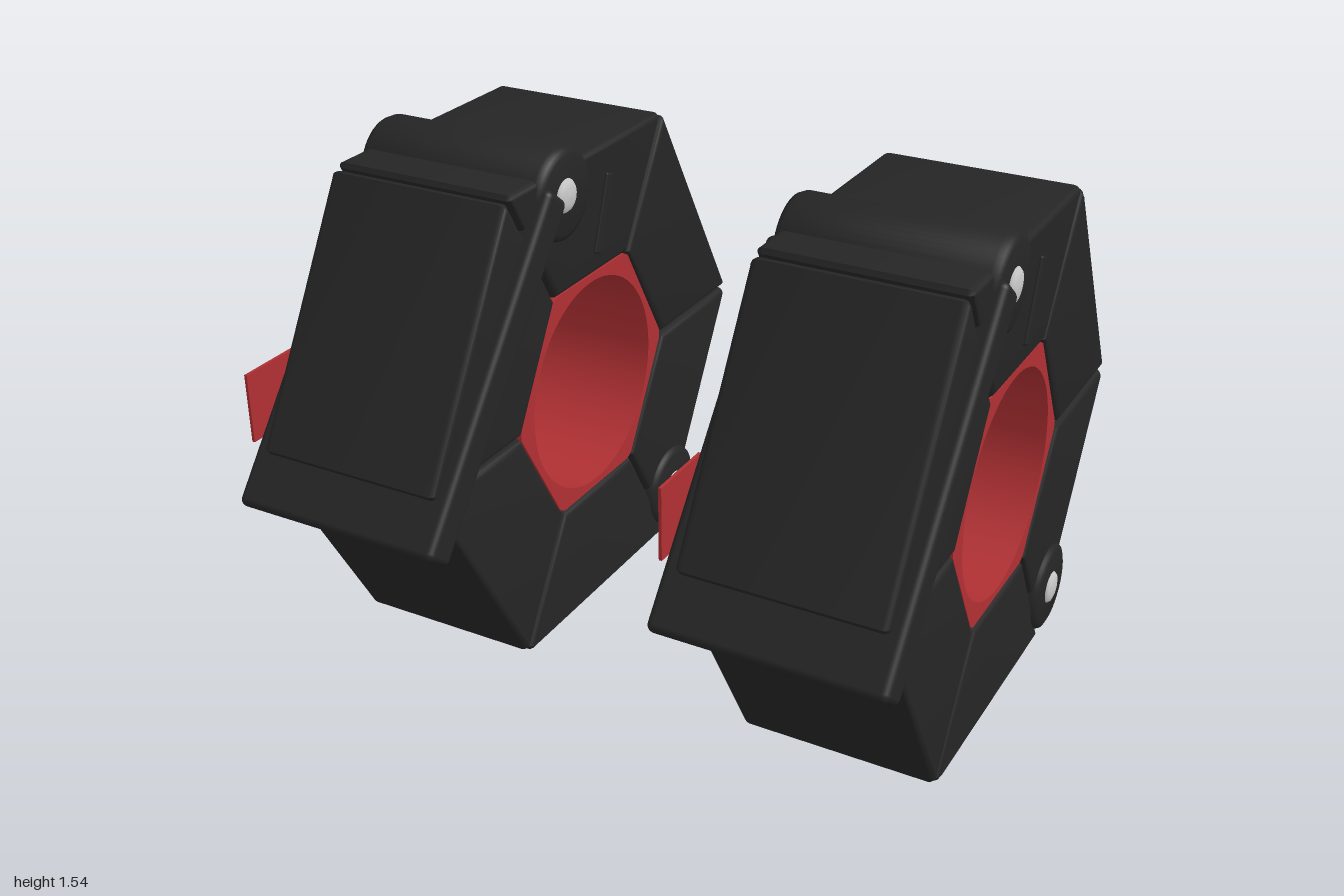
import * as THREE from 'three';
import { toCreasedNormals } from 'three/addons/utils/BufferGeometryUtils.js';
import { RoundedBoxGeometry } from 'three/addons/geometries/RoundedBoxGeometry.js';

const black = new THREE.MeshStandardMaterial({ color: 0x252525 });
black.name = 'black plastic';
const red = new THREE.MeshStandardMaterial({ color: 0xb03033 });
red.name = 'red rubber';
const silver = new THREE.MeshStandardMaterial({ color: 0xc8c8c8 });
silver.name = 'silver metal';

const CY = 0.742, CZ = -0.045;   // centre of the ring
const APOTHEM = 0.737, INNER = 0.357, HALF = 0.295;

function add(group, name, geometry, material, y, z, tilt = 0) {
  const mesh = new THREE.Mesh(geometry, material);
  mesh.name = name;
  mesh.position.set(0, y, z);
  mesh.rotation.x = tilt;
  group.add(mesh);
  return mesh;
}

// Extrude a profile drawn in (z, y) along x, centred, with rounded edges
function slab(shape, half, bevel) {
  const g = new THREE.ExtrudeGeometry(shape, {
    depth: 2 * (half - bevel), curveSegments: 48,
    bevelEnabled: bevel > 0, bevelThickness: bevel, bevelSize: bevel,
    bevelOffset: -bevel, bevelSegments: 4,
  });
  g.translate(0, 0, -(half - bevel));
  g.rotateY(-Math.PI / 2);
  return toCreasedNormals(g, 0.6);
}

// Turned part lying along x
function turned(points, segments) {
  const g = new THREE.LatheGeometry(points.map(p => new THREE.Vector2(...p)), segments);
  return g.rotateZ(Math.PI / 2);
}

// One of the six wedge blocks: a trapezoid with a small gap to its neighbours
function wedgeShape() {
  const t = Math.tan(Math.PI / 6), gap = 0.007;
  const o = APOTHEM * t - gap, i = INNER * t - gap, c = 0.015;
  return new THREE.Shape([
    [-i, INNER], [i, INNER], [o - c * 0.5, APOTHEM - c],
    [o - c, APOTHEM], [-o + c, APOTHEM], [-o + c * 0.5, APOTHEM - c],
  ].map(p => new THREE.Vector2(...p)));
}

// Hexagonal liner with clipped corners and a round hole
function linerShape() {
  const pts = [];
  const R = INNER / Math.cos(Math.PI / 6) + 0.008;
  for (let k = 0; k < 6; k++) {
    const a = k * Math.PI / 3;
    for (const d of [-0.035, 0.035]) {
      const r = R - 0.018;
      pts.push(new THREE.Vector2(r * Math.cos(a + d), r * Math.sin(a + d)));
    }
  }
  const shape = new THREE.Shape(pts);
  shape.holes.push(new THREE.Path().absarc(0, 0, 0.332, 0, Math.PI * 2, true));
  return shape;
}

function createCollar() {
  const collar = new THREE.Group();

  // Ring of wedges around the liner
  const wedge = slab(wedgeShape(), HALF, 0.022);
  for (let k = 0; k < 6; k++) add(collar, 'ringSegment', wedge, black, CY, CZ, k * Math.PI / 3);
  add(collar, 'liner', slab(linerShape(), 0.285, 0), red, CY, CZ);

  // Hinge barrels with domed pins
  const barrel = toCreasedNormals(turned([
    [0, -0.31], [0.115, -0.31], [0.132, -0.303], [0.14, -0.285],
    [0.14, 0.285], [0.132, 0.303], [0.115, 0.31], [0, 0.31],
  ], 48), 0.8);
  const pin = turned([
    [0, -0.325], [0.025, -0.323], [0.043, -0.318], [0.052, -0.308],
    [0.052, 0.308], [0.043, 0.318], [0.025, 0.323], [0, 0.325],
  ], 32);
  for (const [name, y, z] of [['lever', 1.403, 0.115], ['lower', 0.163, -0.495]]) {
    add(collar, name + 'Barrel', barrel, black, y, z);
    add(collar, name + 'Pin', pin, silver, y, z);
  }

  // Locking lever laid across the front upper wedge
  add(collar, 'lever', new RoundedBoxGeometry(0.666, 1.07, 0.108, 4, 0.022), black, 1.008, 0.51, -0.669);

  // Narrow rib showing on both sides of the top wedge
  add(collar, 'sideRib', new RoundedBoxGeometry(0.608, 0.24, 0.036, 2, 0.006), black, 1.275, -0.1, -0.34);

  // Thin square tab beside the lever
  const tab = add(collar, 'tab', new THREE.BoxGeometry(0.009, 0.21, 0.21), red, 0.873, 0.677);
  tab.position.x = -0.338;
  return collar;
}

export function createModel() {
  const model = new THREE.Group();
  model.name = 'collarPair';
  for (const [name, x] of [['rightCollar', -0.657], ['leftCollar', 0.664]]) {
    const collar = createCollar();
    collar.name = name;
    collar.position.x = x;
    model.add(collar);
  }
  return model;
}
